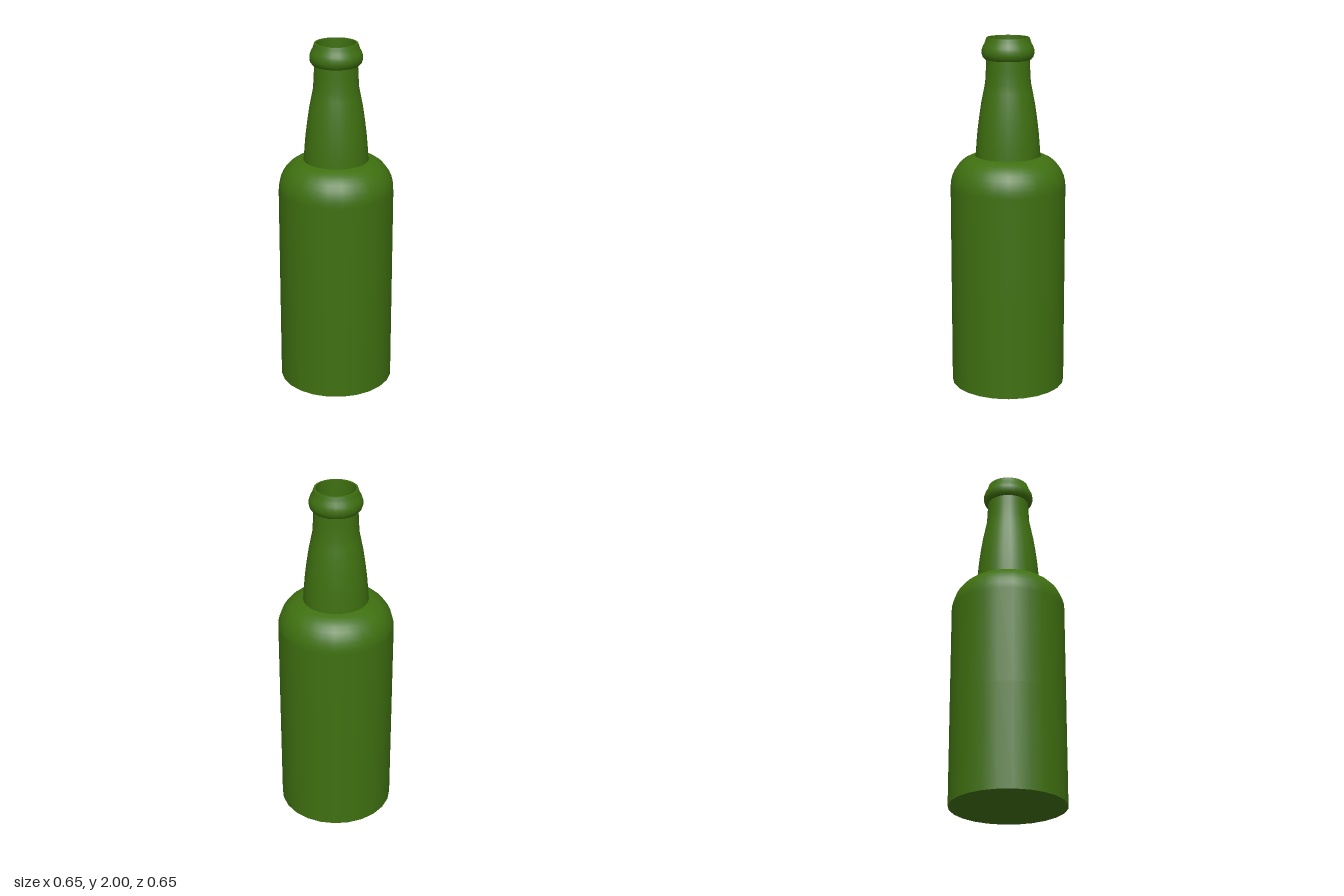
import * as THREE from 'three';

const SIDES = 24;
const PHASE = -0.06;

export function createModel() {
  const bottle = new THREE.Group();
  bottle.name = 'bottle';
  const glass = new THREE.MeshStandardMaterial({ color: 0x3f7010, side: THREE.DoubleSide });

  // Revolve a profile of [radius, height] points into one named part
  const addLathe = (name, profile) => {
    const points = profile.map(([r, y]) => new THREE.Vector2(r, y));
    const mesh = new THREE.Mesh(new THREE.LatheGeometry(points, SIDES, PHASE), glass);
    mesh.name = name;
    bottle.add(mesh);
  };

  // Flat underside
  addLathe('base', [[0, 0], [0.325, 0]]);

  // Straight wall and rounded shoulder
  const body = [[0.325, 0], [0.325, 0.6], [0.325, 1.16]];
  for (let i = 1; i <= 8; i++) {
    const a = (i / 8) * Math.PI * 0.46;
    body.push([0.165 + 0.16 * Math.cos(a), 1.16 + 0.18 * Math.sin(a)]);
  }
  addLathe('body', body);

  // Tapering neck
  addLathe('neck', [
    [0.181, 1.335], [0.178, 1.4], [0.171, 1.48], [0.161, 1.56],
    [0.149, 1.64], [0.137, 1.7], [0.127, 1.75], [0.123, 1.82], [0.12, 1.89],
  ]);

  // Rounded collar below the mouth
  addLathe('collar', [
    [0.118, 1.877], [0.13, 1.88], [0.14, 1.892], [0.146, 1.91], [0.146, 1.93],
    [0.14, 1.95], [0.13, 1.967], [0.124, 1.985], [0.119, 2],
  ]);

  // Mouth rim and hollow inside
  addLathe('rim', [[0.119, 2], [0.109, 2]]);
  addLathe('innerWall', [
    [0.109, 2], [0.109, 1.75], [0.155, 1.5], [0.165, 1.33],
    [0.26, 1.28], [0.305, 1.15], [0.305, 0.03],
  ]);
  addLathe('innerFloor', [[0.305, 0.03], [0, 0.03]]);

  return bottle;
}
